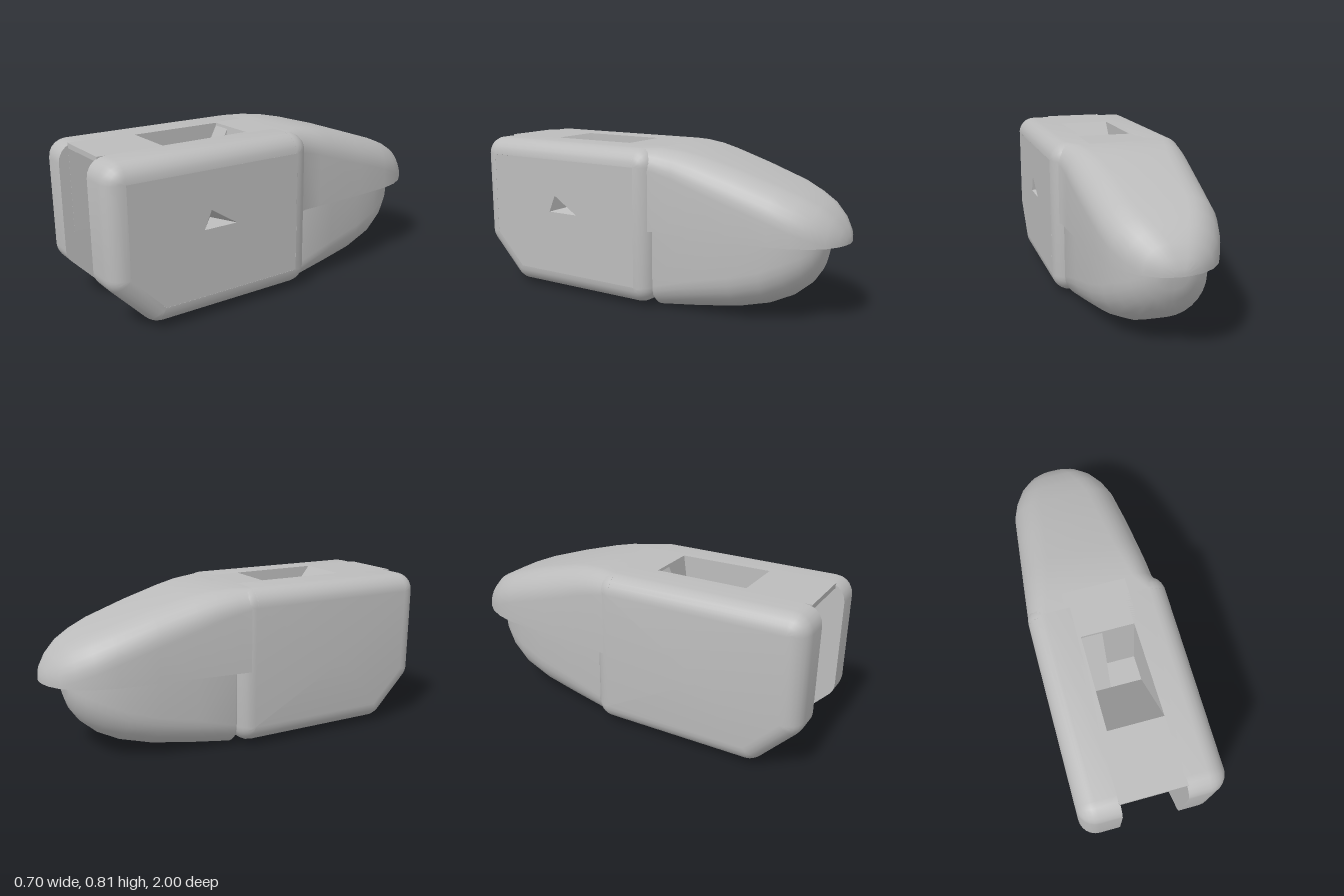
import * as THREE from 'three';
import { toCreasedNormals } from 'three/addons/utils/BufferGeometryUtils.js';

const V = (x, y, z) => new THREE.Vector3(x, y, z);

// Skin between equal-length rings, with fan caps; faces are turned outward by signed volume
function loft(rings, capEnd = true) {
  const n = rings[0].length, pts = rings.flat(), tris = [];
  const centre = r => r.reduce((s, p) => s.add(p), V(0, 0, 0)).divideScalar(n);
  const last = rings.length - 1;
  const c0 = pts.push(centre(rings[0])) - 1;
  const c1 = pts.push(centre(rings[last])) - 1;
  for (let j = 0; j < n; j++) {
    const k = (j + 1) % n;
    for (let i = 0; i < last; i++) {
      const a = i * n + j, b = i * n + k;
      tris.push([a, b, b + n], [a, b + n, a + n]);
    }
    tris.push([c0, k, j]);
    if (capEnd) tris.push([c1, last * n + j, last * n + k]);
  }
  const rel = i => pts[i].clone().sub(pts[c1]);
  let volume = 0;
  for (const [a, b, c] of tris) volume += rel(a).dot(rel(b).cross(rel(c)));
  if (volume < 0) tris.forEach(t => t.reverse());
  const g = new THREE.BufferGeometry().setFromPoints(pts);
  g.setIndex(tris.flat());
  return toCreasedNormals(g, 0.6);
}

// Side outline given as [z, y] points
const outline = pts => new THREE.Shape(pts.map(p => new THREE.Vector2(p[0], p[1])));

// Side outline extruded across x
function slab(pts, x0, x1) {
  const g = new THREE.ExtrudeGeometry(outline(pts), { depth: x1 - x0, bevelEnabled: false });
  return g.rotateY(-Math.PI / 2).translate(x1, 0, 0);
}

// Corner centres [z, y, start angle, end angle] of the side wall, inset by its edge radius
const R = 0.09;
const corners = [
  [0.91, 0.72, 0, 90], [-0.01, 0.72, 90, 180], [-0.01, 0.11, 180, 270],
  [0.741, 0.11, 270, 316], [0.91, 0.286, 316, 360],
];
function wallRing(x, r) {
  const ring = [];
  for (const [z, y, a0, a1] of corners)
    for (let i = 0; i <= 5; i++) {
      const a = THREE.MathUtils.degToRad(a0 + (a1 - a0) * i / 5);
      ring.push(V(x, y + r * Math.sin(a), z + r * Math.cos(a)));
    }
  return ring;
}

// Wall with a rounded outer rim and a slightly tapered inner face
function wall(side, capEnd) {
  const rings = [wallRing(side * 0.155, R)];
  rings[0].forEach(p => { p.x = side * (0.155 - 0.018 * (1 - p.z)); });
  for (let i = 0; i <= 6; i++) {
    const t = i / 6 * Math.PI / 2;
    rings.push(wallRing(side * (0.26 + R * Math.sin(t)), Math.max(R * Math.cos(t), 0.0005)));
  }
  return loft(rings, capEnd);
}

// Cross-section: flat edge at yFlat, two rounded corners at yRound
function section(z, wl, wr, yFlat, yRound, r) {
  const dir = Math.sign(yRound - yFlat), ring = [V(-wl, yFlat, z)];
  const ry = Math.min(r, Math.abs(yRound - yFlat) * 0.9);
  for (const s of [-1, 1])
    for (let i = 0; i <= 7; i++) {
      const a = (s < 0 ? i : 7 - i) / 7 * Math.PI / 2;
      const w = s < 0 ? wl : wr, rx = Math.min(r, w * 0.95);
      ring.push(V(s * (w - rx + rx * Math.cos(a)), yRound - dir * ry * (1 - Math.sin(a)), z));
    }
  ring.push(V(wr, yFlat, z));
  return ring;
}

export function createModel() {
  const group = new THREE.Group();
  const grey = new THREE.MeshStandardMaterial({ color: 0xbcbcbc, side: THREE.DoubleSide });
  grey.name = 'bodyGrey';
  const add = (name, geometry) => {
    const mesh = new THREE.Mesh(geometry, grey);
    mesh.name = name;
    group.add(mesh);
  };

  // Side walls
  add('rightWall', wall(-1, true));
  add('leftWall', wall(1, false));

  // Outer face of the left wall, with a small tapered notch
  const notch = [[0.53, 0.44], [0.49, 0.53], [0.35, 0.44]];
  const face = outline(corners);
  face.holes.push(outline(notch));
  add('leftWallFace', new THREE.ShapeGeometry(face).rotateY(-Math.PI / 2).translate(0.35, 0, 0));
  const apex = V(0.27, 0.465, 0.45);
  const notchPts = notch.flatMap((p, i) => {
    const q = notch[(i + 1) % 3];
    return [V(0.35, p[1], p[0]), V(0.35, q[1], q[0]), apex];
  });
  const notchGeo = new THREE.BufferGeometry().setFromPoints(notchPts);
  notchGeo.computeVertexNormals();
  add('notch', notchGeo);

  // Deck between the walls: sloped underside and a pocket open at the top
  const pocket = [[0.15, 0.81], [0.2, 0.45], [0.33, 0.45], [0.62, 0.81]];
  add('deckAndRamp', slab(
    [[0.95, 0.81], [0.95, 0.785], [-0.09, 0.185], [-0.09, 0.81], ...pocket], -0.16, 0.16));
  add('pocketSide', slab(pocket, -0.16, -0.125));
  add('pocketStep', slab([[0.15, 0.8], [0.2, 0.45], [0.33, 0.45]], -0.13, -0.02));

  // Tapered thickening inside the slot
  const rib = slab([[0.95, 0.375], [0.95, 0.78], [0.25, 0.375]], -0.17, -0.11);
  const p = rib.attributes.position;
  for (let i = 0; i < p.count; i++)
    if (p.getX(i) > -0.14) p.setX(i, -0.11 - 0.043 * (p.getZ(i) - 0.25) / 0.7);
  rib.computeVertexNormals();
  add('slotRib', rib);

  // Upper nose: z, right width, left width, top, corner radius
  const upper = [
    [0, 0.35, 0.35, 0.81, 0.09], [-0.1, 0.34, 0.31, 0.81, 0.11], [-0.2, 0.33, 0.307, 0.8, 0.125],
    [-0.3, 0.32, 0.303, 0.78, 0.14], [-0.5, 0.3, 0.292, 0.725, 0.15], [-0.7, 0.28, 0.275, 0.66, 0.15],
    [-0.8, 0.25, 0.25, 0.62, 0.15], [-0.88, 0.21, 0.21, 0.58, 0.14], [-0.94, 0.16, 0.16, 0.53, 0.12],
    [-0.98, 0.095, 0.095, 0.475, 0.07], [-0.995, 0.045, 0.045, 0.435, 0.03], [-1, 0.008, 0.008, 0.41, 0.005],
  ];
  add('upperNose', loft(upper.map(([z, a, b, top, r]) => section(z, a, b, 0.402, top, r))));

  // Lower nose: z, half width, bottom, corner radius
  const lower = [
    [-0.085, 0.295, 0.012, 0.11], [-0.1, 0.3, 0, 0.12], [-0.3, 0.29, 0.015, 0.16],
    [-0.5, 0.275, 0.04, 0.18], [-0.65, 0.25, 0.075, 0.19], [-0.75, 0.215, 0.12, 0.19],
    [-0.82, 0.17, 0.18, 0.16], [-0.86, 0.125, 0.24, 0.12], [-0.88, 0.08, 0.3, 0.07], [-0.89, 0.02, 0.38, 0.02],
  ];
  add('lowerNose', loft(lower.map(([z, w, bottom, r]) => section(z, w, w, 0.41, bottom, r))));

  return group;
}
